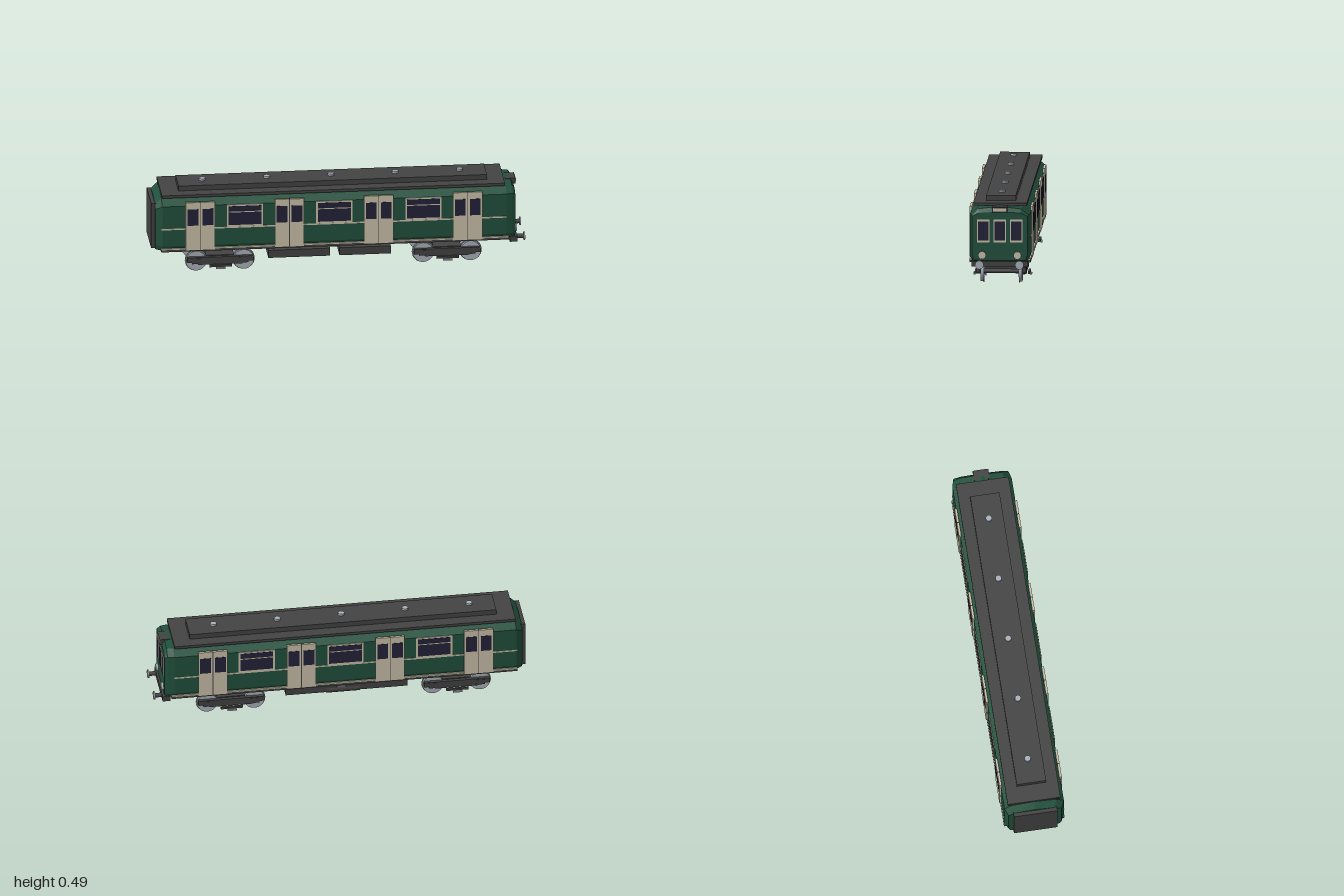
import * as THREE from 'three';

const mat = (name, color) => {
  const m = new THREE.MeshStandardMaterial({ color });
  m.name = name;
  return m;
};

export function createModel() {
  const green = mat('bodyGreen', 0x21503d);
  const cream = mat('cream', 0xcbc1aa);
  const dark = mat('darkGrey', 0x434343);
  const glass = mat('windowGlass', 0x222238);
  const steel = mat('steel', 0xa9b1ba);
  const car = new THREE.Group();
  car.name = 'railCar';

  const add = (parent, name, geo, m) => {
    const mesh = new THREE.Mesh(geo, m);
    mesh.name = name;
    parent.add(mesh);
    return mesh;
  };
  // Box given by its limits on each axis
  const box = (parent, name, m, x0, x1, y0, y1, z0, z1) => {
    const mesh = add(parent, name, new THREE.BoxGeometry(x1 - x0, y1 - y0, z1 - z0), m);
    mesh.position.set((x0 + x1) / 2, (y0 + y1) / 2, (z0 + z1) / 2);
    return mesh;
  };
  // Cylinder centred at a point, lying along the given axis
  const cyl = (parent, name, m, axis, r, len, x, y, z, sides = 24) => {
    const geo = new THREE.CylinderGeometry(r, r, len, sides);
    if (axis === 'x') geo.rotateZ(-Math.PI / 2);
    if (axis === 'z') geo.rotateX(Math.PI / 2);
    const mesh = add(parent, name, geo, m);
    mesh.position.set(x, y, z);
    return mesh;
  };

  // Body shell: flat-faced loft through cross-sections [x, half width, bottom, eave, top]
  const rings = [
    [-0.98, 0.142, 0.145, 0.375, 0.41],
    [-0.945, 0.16, 0.14, 0.395, 0.441],
    [0.895, 0.16, 0.14, 0.395, 0.441],
    [0.93, 0.152, 0.14, 0.395, 0.438],
    [0.945, 0.147, 0.15, 0.387, 0.412],
  ].map(([x, w, b, e, t]) => {
    const half = [[w * 0.93, b], [w, b + 0.028], [w, e], [w * 0.75, e + (t - e) * 0.7]];
    const loop = [...half, [0, t], ...half.map(([z, y]) => [-z, y]).reverse()];
    return loop.map(([z, y]) => [x, y, z]);
  });
  const pos = [];
  const n = rings[0].length;
  const tri = (...pts) => pts.forEach((p) => pos.push(...p));
  for (let i = 0; i < rings.length - 1; i++) {
    for (let j = 0; j < n; j++) {
      const k = (j + 1) % n;
      const [a, b, c, d] = [rings[i][j], rings[i][k], rings[i + 1][j], rings[i + 1][k]];
      tri(a, c, b);
      tri(c, d, b);
    }
  }
  const first = rings[0], last = rings[rings.length - 1];
  for (let j = 1; j < n - 1; j++) {
    tri(first[0], first[j], first[j + 1]);
    tri(last[0], last[j + 1], last[j]);
  }
  const shell = new THREE.BufferGeometry();
  shell.setAttribute('position', new THREE.Float32BufferAttribute(pos, 3));
  shell.computeVertexNormals();
  add(car, 'bodyShell', shell, green);

  // Roof deck with round vents
  box(car, 'roofDeck', dark, -0.945, 0.89, 0.436, 0.451, -0.142, 0.142);
  box(car, 'roofRaisedDeck', dark, -0.85, 0.8, 0.451, 0.479, -0.079, 0.079);
  for (const x of [-0.715, -0.37, -0.027, 0.317, 0.661]) {
    cyl(car, 'roofVent', steel, 'y', 0.017, 0.012, x, 0.484, 0, 12);
  }

  // Rear gangway
  box(car, 'gangway', dark, -1, -0.975, 0.145, 0.4, -0.117, 0.117);

  // Side walls: built facing +z, turned to both sides by sign
  const doorXs = [-0.742, -0.265, 0.212, 0.688];
  const windowXs = [-0.503, -0.025, 0.452];
  for (const s of [1, -1]) {
    const side = new THREE.Group();
    side.name = s > 0 ? 'frontSide' : 'backSide';
    car.add(side);
    const plate = (name, m, x0, x1, y0, y1, z0, z1) =>
      box(side, name, m, x0, x1, y0, y1, Math.min(s * z0, s * z1), Math.max(s * z0, s * z1));

    plate('stepBoard', dark, -0.95, 0.91, 0.136, 0.148, 0.145, 0.163);
    plate('sillStripe', cream, -0.95, 0.91, 0.148, 0.155, 0.15, 0.163);
    plate('waistStripe', cream, -0.95, 0.895, 0.261, 0.269, 0.159, 0.162);

    for (const x of doorXs) {
      plate('doorSeam', dark, x - 0.003, x + 0.003, 0.145, 0.416, 0.155, 0.1665);
      for (const d of [-1, 1]) {
        const c = x + d * 0.04;
        plate('doorLeaf', cream, c - 0.038, c + 0.038, 0.145, 0.416, 0.155, 0.168);
        plate('doorGlass', glass, c - 0.029, c + 0.029, 0.285, 0.378, 0.166, 0.1695);
      }
    }
    for (const x of windowXs) {
      plate('windowFrame', cream, x - 0.097, x + 0.097, 0.27, 0.395, 0.158, 0.164);
      plate('windowGlass', glass, x - 0.088, x + 0.088, 0.279, 0.386, 0.16, 0.1655);
      plate('windowBar', cream, x - 0.088, x + 0.088, 0.351, 0.356, 0.16, 0.167);
    }
  }

  // Cab end
  for (const z of [-0.088, 0, 0.088]) {
    box(car, 'cabWindowFrame', cream, 0.941, 0.948, 0.246, 0.37, z - 0.033, z + 0.033);
    box(car, 'cabWindowGlass', glass, 0.942, 0.95, 0.257, 0.36, z - 0.027, z + 0.027);
  }
  box(car, 'routeBox', dark, 0.9, 0.956, 0.408, 0.438, -0.042, 0.042);
  box(car, 'routePanel', cream, 0.953, 0.959, 0.414, 0.432, -0.035, 0.035);
  box(car, 'bufferBeam', dark, 0.915, 0.956, 0.117, 0.146, -0.15, 0.15);
  for (const s of [1, -1]) {
    cyl(car, 'headlightRim', steel, 'x', 0.021, 0.014, 0.949, 0.178, s * 0.094);
    cyl(car, 'headlightLens', cream, 'x', 0.018, 0.006, 0.955, 0.178, s * 0.094);
    cyl(car, 'bufferShaft', dark, 'x', 0.012, 0.05, 0.97, 0.132, s * 0.107, 16);
    cyl(car, 'bufferHead', steel, 'x', 0.023, 0.008, 0.996, 0.132, s * 0.107);
  }

  // Underfloor equipment
  box(car, 'equipmentBox', dark, -0.37, -0.04, 0.053, 0.096, -0.09, 0.09);
  box(car, 'equipmentBox', dark, 0.01, 0.285, 0.053, 0.096, -0.09, 0.09);
  cyl(car, 'airTank', dark, 'x', 0.022, 0.18, -0.025, 0.063, -0.072, 16);

  // Bogies
  for (const bx of [-0.631, 0.583]) {
    const bogie = new THREE.Group();
    bogie.name = 'bogie';
    bogie.position.x = bx;
    car.add(bogie);
    box(bogie, 'bolster', dark, -0.075, 0.075, 0.05, 0.09, -0.112, 0.112);
    for (const wx of [-0.127, 0.127]) {
      cyl(bogie, 'axle', dark, 'z', 0.012, 0.23, wx, 0.06, 0, 12);
      for (const s of [1, -1]) {
        cyl(bogie, 'wheelTread', steel, 'z', 0.055, 0.018, wx, 0.06, s * 0.102, 32);
        cyl(bogie, 'wheelFlange', steel, 'z', 0.06, 0.004, wx, 0.06, s * 0.095, 32);
        box(bogie, 'axleBox', dark, wx - 0.024, wx + 0.024, 0.05, 0.08,
          s * 0.123 - 0.01, s * 0.123 + 0.01);
      }
    }
    for (const s of [1, -1]) {
      const c = s * 0.122;
      box(bogie, 'sideFrame', dark, -0.177, 0.177, 0.058, 0.086, c - 0.009, c + 0.009);
      box(bogie, 'springPlank', dark, -0.118, 0.118, 0.044, 0.06, c - 0.008, c + 0.008);
      box(bogie, 'shoeBeam', dark, -0.06, 0.06, 0.035, 0.047, s * 0.142 - 0.006, s * 0.142 + 0.006);
      box(bogie, 'collectorShoe', steel, -0.025, 0.025, 0.026, 0.035, s * 0.151 - 0.005, s * 0.151 + 0.005);
    }
  }
  return car;
}
